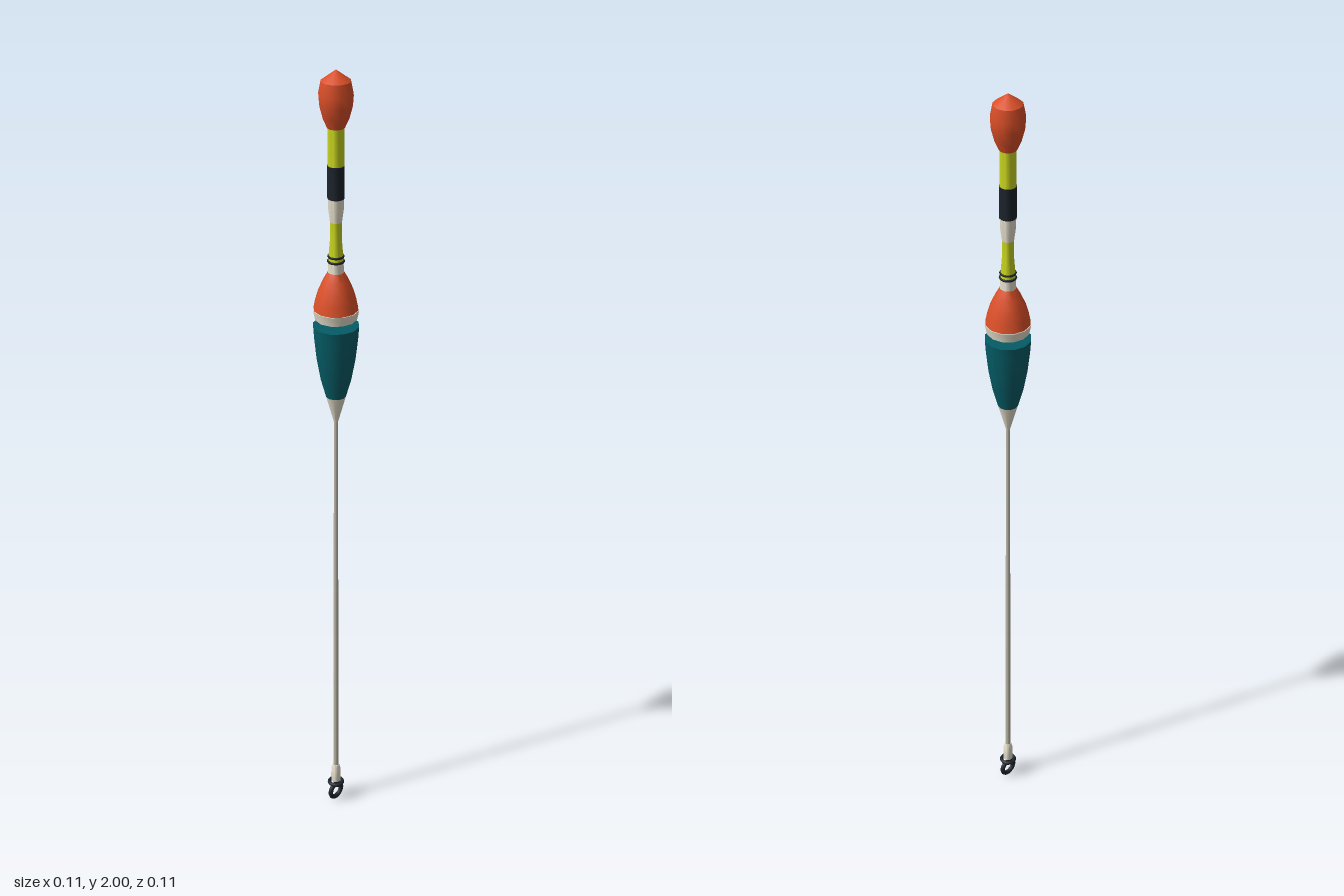
import * as THREE from 'three';
import { toCreasedNormals } from 'three/addons/utils/BufferGeometryUtils.js';

const mat = (name, color) => {
  const m = new THREE.MeshStandardMaterial({ color });
  m.name = name;
  return m;
};

export function createModel() {
  const orange = mat('orange paint', 0xdb4f28);
  const yellow = mat('yellow paint', 0xc6d21e);
  const black = mat('black', 0x1b232a);
  const cream = mat('cream', 0xe6dfcc);
  const teal = mat('teal paint', 0x045c66);
  const stemGrey = mat('stem grey', 0xbdb8a8);

  const group = new THREE.Group();
  group.name = 'fishingFloat';

  const add = (name, geometry, material, y = 0) => {
    const mesh = new THREE.Mesh(geometry, material);
    mesh.name = name;
    mesh.position.y = y;
    group.add(mesh);
  };

  // Turned part: profile of [radius, height] from bottom to top, closed at both ends
  const turned = (name, material, profile) => {
    const pts = [[0, profile[0][1]], ...profile, [0, profile[profile.length - 1][1]]]
      .filter((p, i, a) => i === 0 || p[0] !== a[i - 1][0] || p[1] !== a[i - 1][1])
      .map(([r, y]) => new THREE.Vector2(r, y));
    add(name, toCreasedNormals(new THREE.LatheGeometry(pts, 12), 0.7), material);
  };

  // Horizontal ring around the axis
  const ring = (name, radius, tube, y) =>
    add(name, new THREE.TorusGeometry(radius, tube, 6, 16).rotateX(Math.PI / 2), black, y);

  // Antenna
  turned('tipBulb', orange, [[0.02, 1.868], [0.03, 1.89], [0.038, 1.92], [0.04, 1.945], [0.034, 1.975], [0, 2]]);
  turned('upperYellowBand', yellow, [[0.019, 1.78], [0.019, 1.87]]);
  turned('blackBand', black, [[0.02, 1.702], [0.02, 1.78]]);
  turned('creamTaper', cream, [[0.014, 1.645], [0.018, 1.675], [0.019, 1.702]]);
  turned('lowerYellowBand', yellow, [[0.018, 1.546], [0.017, 1.565], [0.014, 1.60], [0.014, 1.645]]);
  ring('upperBinding', 0.017, 0.003, 1.561);
  ring('lowerBinding', 0.018, 0.003, 1.549);
  turned('creamCollar', cream, [[0.019, 1.515], [0.018, 1.546]]);

  // Body, in two halves with a narrow gap crossed by a thin post
  turned('upperBody', orange, [[0.053, 1.43], [0.049, 1.45], [0.042, 1.474], [0.03, 1.502], [0.019, 1.522]]);
  turned('creamRim', cream, [[0.05, 1.406], [0.055, 1.43]]);
  turned('bodyPost', black, [[0.004, 1.38], [0.004, 1.41]]);
  turned('lowerBody', teal, [[0.024, 1.203], [0.037, 1.25], [0.047, 1.305], [0.053, 1.36], [0.055, 1.388]]);
  turned('bodyCone', cream, [[0.005, 1.133], [0.024, 1.203]]);

  // Stem
  turned('stem', stemGrey, [[0.007, 0.10], [0.005, 1.14]]);
  turned('stemFoot', cream, [[0.012, 0.06], [0.013, 0.075], [0.012, 0.098], [0.008, 0.112]]);

  // Line eye
  ring('eyeCollar', 0.017, 0.005, 0.054);
  turned('eyePin', black, [[0.006, 0.042], [0.006, 0.065]]);
  add('lineEye', new THREE.TorusGeometry(0.02, 0.006, 8, 20), black, 0.026);

  return group;
}
